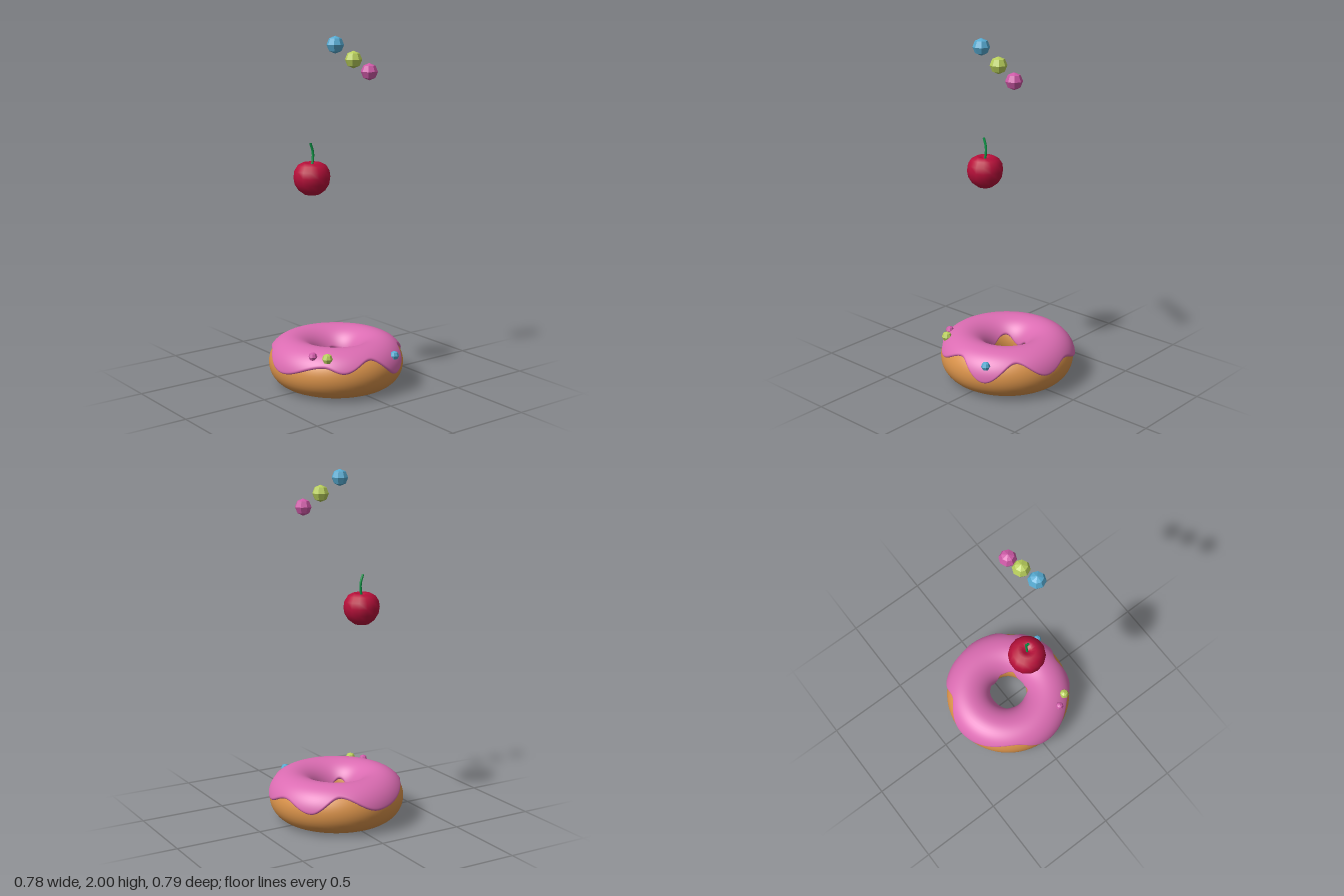
import * as THREE from 'three';

const RING = 0.253, DOUGH = 0.135, ICING = 0.147;

const COLORS = { dough: 0xd9924a, icing: 0xdb6cb2, cherry: 0xb80f3a, stem: 0x0c9a48,
  pink: 0xcf5aa8, lime: 0xb9cf5c, blue: 0x57abd2 };

function addMesh(parent, name, geometry, color, flatShading = false, side = THREE.FrontSide) {
  const mesh = new THREE.Mesh(geometry, new THREE.MeshStandardMaterial({ color, flatShading, side }));
  mesh.name = name;
  parent.add(mesh);
  return mesh;
}

// Smooth periodic curve through [degrees, value] knots
function wave(knots, deg) {
  const d = THREE.MathUtils.euclideanModulo(deg, 360);
  const n = knots.length;
  for (let i = 0; i < n; i++) {
    const [a0, v0] = knots[i];
    let [a1, v1] = knots[(i + 1) % n];
    if (a1 <= a0) a1 += 360;
    const x = d < a0 ? d + 360 : d;
    if (x >= a0 && x <= a1) {
      const t = (x - a0) / (a1 - a0);
      return v0 + (v1 - v0) * (1 - Math.cos(Math.PI * t)) / 2;
    }
  }
  return knots[0][1];
}

// Height of the icing's dripping edge around the outside and inside the hole
const OUTER = [[5, 0.235], [30, 0.175], [47, 0.207], [88, 0.136], [120, 0.217], [173, 0.147],
  [207, 0.237], [232, 0.14], [259, 0.197], [283, 0.146], [310, 0.237], [338, 0.12]];
const INNER = [[10, 0.15], [40, 0.19], [80, 0.13], [135, 0.2], [175, 0.14], [205, 0.175],
  [232, 0.165], [258, 0.115], [285, 0.17], [320, 0.19], [345, 0.14]];

// Icing shell: a partial ring surface whose rim rounds down onto the dough
function icingGeometry() {
  const around = 180, across = 40;
  const positions = [], index = [];
  for (let i = 0; i < around; i++) {
    const deg = (i / around) * 360, a = THREE.MathUtils.degToRad(deg);
    const start = Math.asin((wave(OUTER, deg) - DOUGH) / ICING);
    const end = Math.PI - Math.asin((wave(INNER, deg) - DOUGH) / ICING);
    for (let j = 0; j <= across; j++) {
      // Rows are packed closer together near both rims
      const u = j / across;
      const t = u - 0.9 * Math.sin(2 * Math.PI * u) / (2 * Math.PI);
      const theta = start + (end - start) * t;
      const d = Math.min(1, Math.min(theta - start, end - theta) / 0.1);
      const r = DOUGH - 0.002 + (ICING - DOUGH + 0.002) * Math.sqrt(Math.max(0, 1 - (1 - d) ** 2));
      const rho = RING + r * Math.cos(theta);
      positions.push(rho * Math.cos(a), DOUGH + r * Math.sin(theta), rho * Math.sin(a));
    }
  }
  const row = across + 1;
  for (let i = 0; i < around; i++) {
    for (let j = 0; j < across; j++) {
      const p = i * row + j, q = ((i + 1) % around) * row + j;
      index.push(p, p + 1, q, q, p + 1, q + 1);
    }
  }
  const geometry = new THREE.BufferGeometry();
  geometry.setAttribute('position', new THREE.Float32BufferAttribute(positions, 3));
  geometry.setIndex(index);
  geometry.computeVertexNormals();
  return geometry;
}

function createDonut() {
  const donut = new THREE.Group();
  donut.name = 'donut';
  const dough = new THREE.TorusGeometry(RING, DOUGH, 40, 96).rotateX(Math.PI / 2);
  addMesh(donut, 'dough', dough, COLORS.dough).position.y = DOUGH;
  addMesh(donut, 'icing', icingGeometry(), COLORS.icing, false, THREE.DoubleSide);
  return donut;
}

function createCherry() {
  const cherry = new THREE.Group();
  cherry.name = 'cherry';
  // Round body with a dimple at the top
  const profile = [[0, -0.103], [0.042, -0.095], [0.076, -0.07], [0.098, -0.035], [0.104, 0.002],
    [0.099, 0.037], [0.08, 0.067], [0.05, 0.083], [0.025, 0.077], [0, 0.058]]
    .map(([x, y]) => new THREE.Vector2(x, y));
  addMesh(cherry, 'cherryBody', new THREE.LatheGeometry(profile, 14), COLORS.cherry);
  // Bent stem
  const path = new THREE.CatmullRomCurve3([[0, 0.055, 0.003], [0, 0.095, -0.006],
    [0, 0.14, -0.007], [0, 0.19, 0.009]].map(p => new THREE.Vector3(...p)));
  addMesh(cherry, 'cherryStem', new THREE.TubeGeometry(path, 8, 0.007, 6), COLORS.stem,
    false, THREE.DoubleSide);
  cherry.position.set(0, 1.222, 0.167);
  return cherry;
}

export function createModel() {
  const model = new THREE.Group();
  model.name = 'donutWithToppings';
  model.add(createDonut(), createCherry());

  // Sprinkle balls: three in the air, three sunk into the icing
  const balls = [
    ['fallingBallBlue', COLORS.blue, 0.048, 0.11, 1.952, 0.088],
    ['fallingBallLime', COLORS.lime, 0.048, 0.11, 1.868, -0.037],
    ['fallingBallPink', COLORS.pink, 0.048, 0.11, 1.797, -0.148],
    ['icingBallPink', COLORS.pink, 0.025, 0.178, 0.256, 0.293],
    ['icingBallLime', COLORS.lime, 0.03, 0.25, 0.252, 0.247],
    ['icingBallBlue', COLORS.blue, 0.026, 0.348, 0.222, -0.15],
  ];
  for (const [name, color, radius, x, y, z] of balls) {
    addMesh(model, name, new THREE.SphereGeometry(radius, 8, 4), color, true).position.set(x, y, z);
  }
  return model;
}
